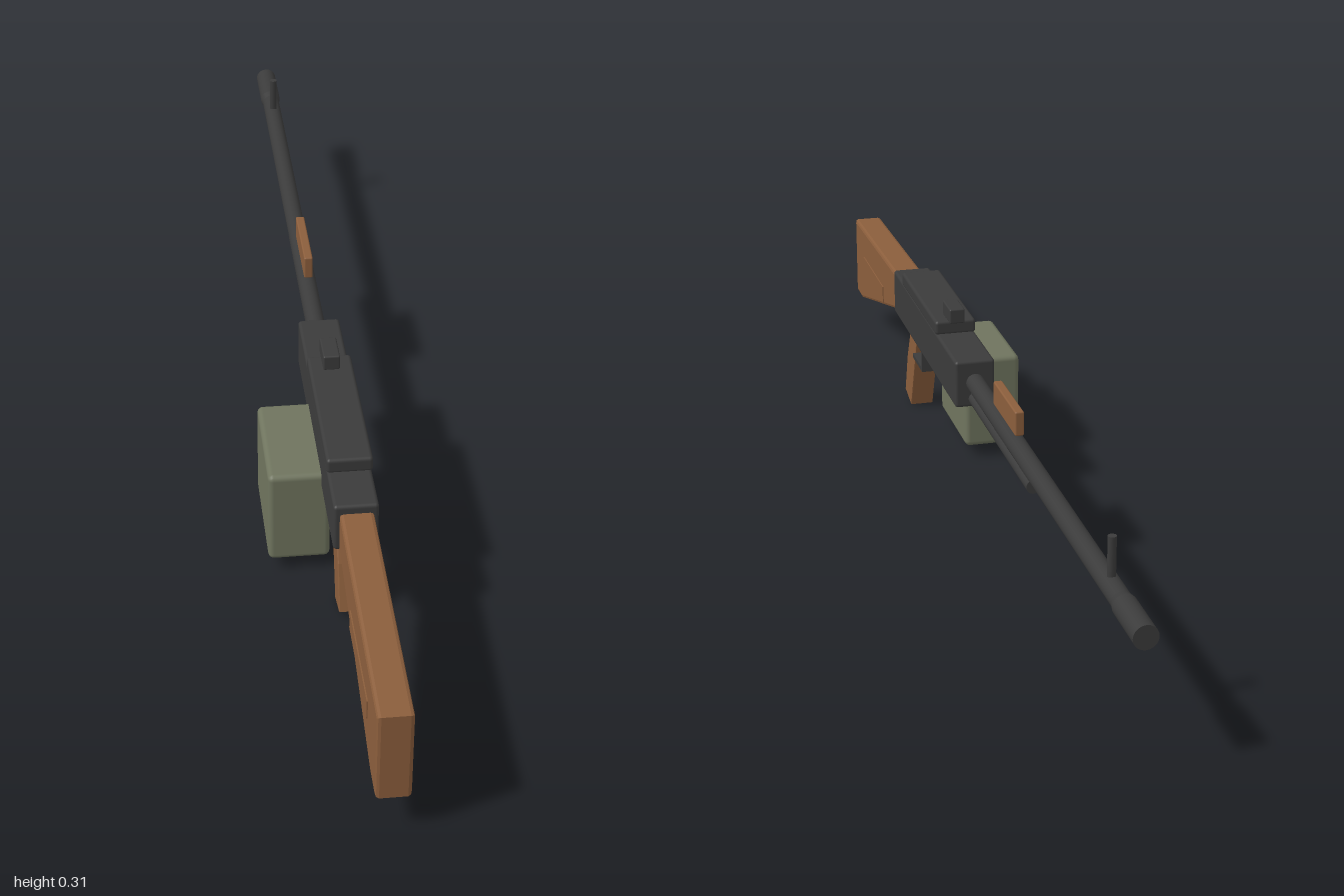
import * as THREE from 'three';
import { RoundedBoxGeometry } from 'three/addons/geometries/RoundedBoxGeometry.js';

const mat = (name, color) => {
  const m = new THREE.MeshStandardMaterial({ color });
  m.name = name;
  return m;
};

export function createModel() {
  const group = new THREE.Group();
  const metal = mat('dark metal', 0x3b3b3b);
  const wood = mat('brown wood', 0x8b5e3c);
  const olive = mat('olive paint', 0x6f745e);
  const CX = 0.043; // centre line of the body

  const add = (name, geometry, material) => {
    const mesh = new THREE.Mesh(geometry, material);
    mesh.name = name;
    group.add(mesh);
    return mesh;
  };

  // Rounded box given by its x, y and z ranges
  const box = (name, material, [x0, x1], [y0, y1], [z0, z1], r) =>
    add(name, new RoundedBoxGeometry(x1 - x0, y1 - y0, z1 - z0, 2, r), material)
      .position.set((x0 + x1) / 2, (y0 + y1) / 2, (z0 + z1) / 2);

  // Cylinder lying along z, rear end z0 to front end z1
  const rod = (name, y, z0, z1, r0, r1 = r0) => {
    const g = new THREE.CylinderGeometry(r0, r1, z0 - z1, 20).rotateX(Math.PI / 2);
    add(name, g, metal).position.set(CX, y, (z0 + z1) / 2);
  };

  // Side outline of [z, y] points, extruded across x with a small bevel
  const profile = (name, material, points, width, bevel, x = CX) => {
    const shape = new THREE.Shape(points.map(([z, y]) => new THREE.Vector2(z, y)));
    const g = new THREE.ExtrudeGeometry(shape, {
      depth: width - 2 * bevel, bevelEnabled: bevel > 0, bevelSize: bevel,
      bevelThickness: bevel, bevelOffset: -bevel, bevelSegments: 2,
    });
    g.translate(0, 0, bevel - width / 2).rotateY(-Math.PI / 2);
    add(name, g, material).position.x = x;
  };

  // Receiver, cover and rear sight
  box('receiver', metal, [0.006, 0.08], [0.176, 0.265], [0.01, 0.55], 0.006);
  box('topCover', metal, [0.005, 0.082], [0.263, 0.29], [0.16, 0.46], 0.006);
  box('rearSight', metal, [0.029, 0.058], [0.289, 0.317], [0.145, 0.205], 0.003);

  // Barrel, flared muzzle, gas tube and front sight
  rod('barrel', 0.223, 0.02, -0.9, 0.017);
  rod('muzzleCollar', 0.223, -0.885, -0.9, 0.017, 0.02);
  rod('muzzle', 0.223, -0.9, -1, 0.02);
  rod('gasTube', 0.192, 0.02, -0.395, 0.0125);
  add('frontSight', new THREE.CylinderGeometry(0.007, 0.007, 0.075, 12), metal)
    .position.set(CX, 0.267, -0.832);

  // Carrying handle
  box('carryHandle', wood, [0.035, 0.051], [0.246, 0.29], [-0.305, -0.155], 0.003);

  // Stock with shallow side panels
  profile('stock', wood, [[0.545, 0.18], [0.945, 0.071], [1, 0.071], [1, 0.235], [0.545, 0.25]], 0.056, 0.006, 0.044);
  for (const s of [-1, 1]) {
    profile('stockPanel', wood, [[0.7, 0.143], [0.905, 0.143], [0.905, 0.178], [0.7, 0.178]], 0.004, 0, 0.044 + s * 0.028);
  }

  // Pistol grip
  profile('grip', wood, [[0.395, 0.19], [0.468, 0.003], [0.521, 0.017], [0.495, 0.1], [0.45, 0.19]], 0.045, 0.002, 0.0435);

  // Trigger guard strip and trigger
  profile('triggerGuard', metal, [
    [0.415, 0.126], [0.415, 0.134], [0.337, 0.134], [0.337, 0.18], [0.329, 0.18], [0.329, 0.126],
  ].reverse(), 0.056, 0, 0.044);
  profile('trigger', metal, [[0.382, 0.18], [0.38, 0.16], [0.366, 0.142], [0.372, 0.142], [0.39, 0.16], [0.392, 0.18]], 0.012, 0);

  // Ammunition box
  box('ammoBox', olive, [-0.084, 0.022], [0.025, 0.203], [0.175, 0.385], 0.01);

  return group;
}
